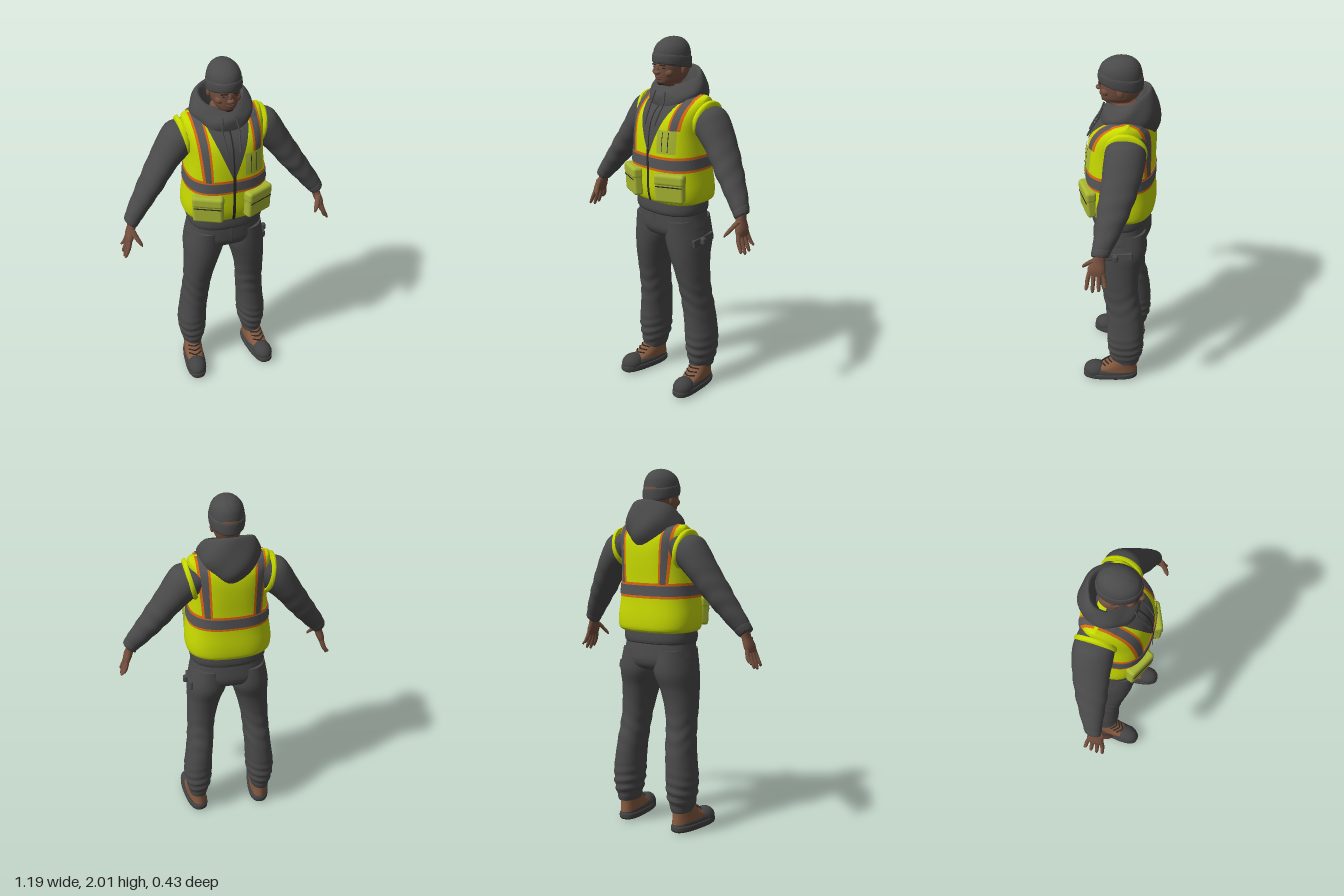
import * as THREE from 'three';
import { toCreasedNormals } from 'three/addons/utils/BufferGeometryUtils.js';
import { RoundedBoxGeometry } from 'three/addons/geometries/RoundedBoxGeometry.js';

const mat = (name, color) => new THREE.MeshStandardMaterial({ name, color });
const M = {
  cloth: mat('charcoal cloth', 0x4a4a4a), yellow: mat('safety yellow', 0xc6d800),
  pale: mat('pocket yellow', 0xa9b733), orange: mat('orange trim', 0xd9690f),
  grey: mat('reflective grey', 0x565659), skin: mat('skin', 0x75503f),
  dark: mat('near black', 0x2a2827), leather: mat('brown leather', 0x84593f),
  rubber: mat('boot rubber', 0x434343), lips: mat('lips', 0x69423a),
};

// Smooth interpolation of a ring table at parameter t
function ringAt(R, t) {
  const i = Math.min(Math.floor(t), R.length - 2), f = t - i;
  const a = R[Math.max(i - 1, 0)], b = R[i], c = R[i + 1], d = R[Math.min(i + 2, R.length - 1)];
  return b.map((_, k) => b[k] + 0.5 * f * (c[k] - a[k] + f * (2 * a[k] - 5 * b[k] + 4 * c[k] - d[k]
    + f * (3 * b[k] - a[k] - 3 * c[k] + d[k]))));
}

// Closed loft through rings [x, y, z, radiusU, radiusV, tilt], superellipse power n
function loft(rings, { n = 2, seg = 32, sub = 6, u = [1, 0, 0], v = [0, 0, 1], ripple } = {}) {
  const pos = [], idx = [], rows = (rings.length - 1) * sub;
  const pw = c => Math.sign(c) * Math.abs(c) ** (2 / n);
  for (let j = 0; j <= rows; j++) {
    const [x, y, z, a, b, tilt = 0] = ringAt(rings, j / sub);
    for (let i = 0; i < seg; i++) {
      const th = i / seg * Math.PI * 2, k = ripple ? ripple(th, y) : 1;
      const p = a * k * pw(Math.cos(th)), q = b * k * pw(Math.sin(th));
      pos.push(x + u[0] * p + v[0] * q, y + u[1] * p + v[1] * q + tilt * q, z + u[2] * p + v[2] * q);
      if (j < rows) {
        const A = j * seg + i, B = j * seg + (i + 1) % seg;
        idx.push(A, A + seg, B, B, A + seg, B + seg);
      }
    }
  }
  const c0 = pos.length / 3, top = rows * seg;
  pos.push(...rings[0].slice(0, 3), ...rings.at(-1).slice(0, 3));
  for (let i = 0; i < seg; i++) {
    const k = (i + 1) % seg;
    idx.push(c0, i, k, c0 + 1, top + k, top + i);
  }
  // Turn the faces outward using the signed volume
  let vol = 0;
  const P = i => new THREE.Vector3().fromArray(pos, i * 3);
  for (let i = 0; i < idx.length; i += 3) vol += P(idx[i]).dot(P(idx[i + 1]).cross(P(idx[i + 2])));
  if (vol < 0) idx.reverse();
  const g = new THREE.BufferGeometry();
  g.setAttribute('position', new THREE.Float32BufferAttribute(pos, 3));
  g.setIndex(idx);
  return toCreasedNormals(g, 0.9);
}

// Vest body rings, shared by everything sewn onto it
const N = 2.6;
const VEST = [[0, 1.12, -.01, .215, .165], [0, 1.14, -.01, .232, .178], [0, 1.2, -.005, .235, .185],
  [0, 1.3, 0, .222, .182], [0, 1.4, 0, .212, .182], [0, 1.5, -.005, .205, .18], [0, 1.58, -.015, .21, .168],
  [0, 1.64, -.032, .216, .138], [0, 1.68, -.047, .215, .088], [0, 1.703, -.055, .207, .012]];
function vestT(y) {
  let lo = 0, hi = VEST.length - 1;
  for (let i = 0; i < 30; i++) {
    const m = (lo + hi) / 2;
    if (ringAt(VEST, m)[1] < y) lo = m; else hi = m;
  }
  return lo;
}

// Thin panel lying on the vest between heights y0..y1 and widths xa(y)..xb(y)
function panel(y0, y1, xa, xb, side, off) {
  const pos = [], idx = [], nx = 8, ny = 30, t0 = vestT(y0), t1 = vestT(y1);
  for (let j = 0; j <= ny; j++) {
    const t = t0 + (t1 - t0) * j / ny, [, y, zc, rx, rz] = ringAt(VEST, t);
    for (let i = 0; i <= nx; i++) {
      const x = xa(y) + (xb(y) - xa(y)) * i / nx, e = Math.min(1, Math.abs(x) / (rx + off));
      pos.push(x, y + (t > VEST.length - 2.2 ? off : 0), zc + side * (rz + off) * (1 - e ** N) ** (1 / N));
      if (i < nx && j < ny) {
        const A = j * (nx + 1) + i, B = A + nx + 1;
        const q = [A, A + 1, B + 1, A, B + 1, B];
        idx.push(...(side > 0 ? q : q.reverse()));
      }
    }
  }
  const g = new THREE.BufferGeometry();
  g.setAttribute('position', new THREE.Float32BufferAttribute(pos, 3));
  g.setIndex(idx);
  g.computeVertexNormals();
  return g;
}
const band = (y0, y1, off) => loft([0, .5, 1].map(k => {
  const r = ringAt(VEST, vestT(y0 + (y1 - y0) * k));
  return [0, r[1], r[2], r[3] + off, r[4] + off];
}), { n: N, seg: 64 });

export function createModel() {
  const root = new THREE.Group();
  const add = (name, geo, m, parent = root) => {
    const o = new THREE.Mesh(geo, m);
    o.name = name;
    parent.add(o);
    return o;
  };
  const box = (name, w, h, d, m, p, r = [0, 0, 0], parent = root) => {
    const o = add(name, new RoundedBoxGeometry(w, h, d, 2, Math.min(w, h, d) * .3), m, parent);
    o.position.set(...p);
    o.rotation.set(...r);
  };
  const ball = (name, m, p, s, parent = root) => {
    const o = add(name, new THREE.SphereGeometry(1, 20, 14), m, parent);
    o.position.set(...p);
    o.scale.set(...s);
  };
  const tube = (name, pts, r, m, parent = root) => add(name, new THREE.TubeGeometry(
    new THREE.CatmullRomCurve3(pts.map(p => new THREE.Vector3(...p))), 24, r, 8), m, parent);

  // Vest with reflective belt and vertical stripes
  add('vest', loft(VEST, { n: N, seg: 64 }), M.yellow);
  add('beltTrim', band(1.307, 1.39, .003), M.orange);
  add('beltStripe', band(1.321, 1.376, .006), M.grey);
  const lean = (a, b) => y => a + b * (y - 1.39) / .31;
  for (const s of [1, -1]) for (const side of [1, -1]) {
    const y0 = s > 0 && side > 0 ? 1.53 : 1.385;
    const strip = (name, inset, off, m) => {
      const i = lean(s * (.108 + inset), s * .012), o = lean(s * (.16 - inset), s * .025);
      add(name, panel(y0, 1.703, s > 0 ? i : o, s > 0 ? o : i, side, off), m);
    };
    strip('stripeTrim', 0, .003, M.orange);
    strip('stripe', .012, .006, M.grey);
  }
  // Neck opening, zips and drawstrings
  const w = y => .006 + .108 * Math.min(1, (y - 1.4) / .27);
  add('hoodieFront', panel(1.4, 1.703, y => -w(y), w, 1, .004), M.cloth);
  add('hoodieZip', panel(1.42, 1.66, () => -.004, () => .004, 1, .006), M.dark);
  add('vestZip', panel(1.13, 1.42, () => -.008, () => .008, 1, .009), M.dark);
  for (const s of [1, -1]) tube('drawstring', [[s * .035, 1.72, .095], [s * .045, 1.66, .118],
    [s * .04, 1.6, .153], [s * .035, 1.55, .177]], .005, M.cloth);
  // Pen pocket
  add('penPocket', panel(1.41, 1.535, () => .062, () => .165, 1, .009), M.pale);
  for (const x of [.095, .128]) add('penSeam', panel(1.42, 1.525, () => x - .002, () => x + .002, 1, .011), M.dark);
  // Lower pockets with flaps
  for (const s of [1, -1]) {
    const p = new THREE.Group();
    p.name = 'vestPocket';
    p.position.set(s * .139, 1.222, .162);
    p.rotation.y = s * .44;
    root.add(p);
    box('pocketBag', .165, .155, .055, M.pale, [0, 0, 0], [.05, 0, 0], p);
    box('pocketShadow', .15, .006, .004, M.dark, [0, .014, .029], [0, 0, 0], p);
    box('pocketFlap', .17, .065, .062, M.pale, [0, .05, .002], [0, 0, 0], p);
  }

  // Hoodie hem, hood and trousers seat
  add('hoodieHem', loft([[0, 1.05, 0, .2, .148], [0, 1.065, 0, .21, .158], [0, 1.1, 0, .212, .16],
    [0, 1.16, 0, .205, .155]], { n: 2.4 }), M.cloth);
  add('hood', loft([[0, 1.585, -.05, .09, .13, 0], [0, 1.64, -.047, .145, .155, 0], [0, 1.7, -.05, .168, .152, -.04],
    [0, 1.752, -.055, .158, .126, -.22], [0, 1.79, -.056, .13, .098, -.44], [0, 1.785, -.052, .112, .085, -.44],
    [0, 1.74, -.045, .1, .075, -.35], [0, 1.69, -.04, .085, .07, -.1]],
  { seg: 48, ripple: (th, y) => 1 + .02 * Math.sin(5 * th + y * 40) }), M.cloth);
  add('seat', loft([[0, 1.08, 0, .198, .148], [0, 1.02, -.004, .207, .152], [0, .96, -.008, .217, .151],
    [0, .92, -.01, .2, .13], [0, .9, -.01, .13, .09]], { n: 2.4 }), M.cloth);
  add('fly', loft([[0, 1.05, .148, .008, .004], [0, .96, .142, .008, .004]], { seg: 10 }), M.cloth);

  for (const s of [1, -1]) {
    // Trouser legs with gathered folds
    add('trouserLeg', loft([[.112, 1.02, -.005, .092, .145], [.118, .9, -.012, .11, .146], [.135, .8, -.004, .096, .126],
      [.15, .7, -.008, .084, .109], [.16, .6, -.02, .076, .1], [.168, .5, -.037, .076, .101], [.178, .4, -.047, .077, .104],
      [.186, .3, -.05, .081, .105], [.188, .21, -.052, .074, .1], [.19, .15, -.05, .06, .087], [.19, .115, -.048, .052, .08]]
      .map(r => [s * r[0], ...r.slice(1)]), {
      n: 2.2, seg: 40, sub: 9, ripple: (th, y) => 1
        + .045 * Math.exp(-(((y - .22) / .09) ** 2)) * Math.sin(y * 115 + 2 * Math.sin(th + s))
        + .025 * Math.exp(-(((y - .56) / .1) ** 2)) * Math.sin(y * 70 + 2.5 * Math.sin(th * 2 + s)),
    }), M.cloth);

    // Sleeve with cuff and armhole binding
    const ax = { u: [s * .78, .62, 0] };
    add('sleeve', loft([[.15, 1.61, -.055, .07, .09], [.21, 1.58, -.053, .098, .104], [.26, 1.53, -.051, .091, .107],
      [.32, 1.452, -.042, .076, .1], [.395, 1.342, -.02, .067, .088], [.46, 1.25, .002, .057, .07],
      [.505, 1.187, .02, .05, .056], [.525, 1.158, .029, .042, .047]].map(r => [s * r[0], ...r.slice(1)]), {
      ...ax, sub: 9, ripple: (th, y) => 1 + .028 * Math.exp(-(((y - 1.32) / .13) ** 2)) * Math.sin(y * 75 + 2 * Math.sin(th)),
    }), M.cloth);
    add('cuff', loft([[s * .512, 1.178, .024, .042, .048], [s * .52, 1.165, .027, .046, .051],
      [s * .537, 1.14, .034, .041, .046], [s * .54, 1.135, .035, .034, .038]], ax), M.cloth);
    add('armholeBinding', loft([[s * .197, 1.575, -.052, .108, .108], [s * .212, 1.568, -.052, .112, .112],
      [s * .22, 1.562, -.052, .1, .106]], { u: [s * .25, .97, 0], seg: 40 }), M.yellow);

    // Hand with four fingers and thumb
    add('palm', loft([[.525, 1.16, .03, .027, .032], [.536, 1.115, .041, .022, .034], [.55, 1.07, .05, .022, .046],
      [.559, 1.035, .052, .015, .044]].map(r => [s * r[0], ...r.slice(1)]), { n: 2.3 }), M.skin);
    [.955, .942, .95, .975].forEach((tip, i) => {
      const z = .084 - i * .022, dz = (1.5 - i) * .007;
      add('finger', loft([[.555, 1.055, z, .012, .012], [.568, 1.01, z + dz, .012, .0115], [.582, (tip + 1.0) / 2, z + dz * 1.3, .011, .01],
        [.589, tip + .008, z + dz * 1.5, .008, .008], [.59, tip, z + dz * 1.5, .002, .002]]
        .map(r => [s * r[0], ...r.slice(1)]), { seg: 12 }), M.skin);
    });
    add('thumb', loft([[.54, 1.11, .07, .016, .018], [.523, 1.075, .103, .014, .015], [.508, 1.048, .122, .011, .011],
      [.5, 1.032, .13, .003, .003]].map(r => [s * r[0], ...r.slice(1)]), { seg: 14 }), M.skin);

    // Work boot, toes turned out
    const b = new THREE.Group();
    b.name = 'boot';
    b.position.set(s * .192, 0, -.035);
    b.rotation.y = s * .12;
    root.add(b);
    add('sole', loft([[0, 0, .073, .055, .155], [0, .008, .073, .061, .161], [0, .03, .073, .061, .161],
      [0, .036, .073, .057, .157]], { n: 2.7, seg: 40 }), M.rubber);
    b.add(root.children.at(-1));
    add('bootRand', loft([[0, .03, .073, .056, .155], [0, .05, .072, .056, .153], [0, .064, .06, .05, .138]],
      { n: 2.5, seg: 40 }), M.rubber, b);
    ball('toeCap', M.rubber, [0, .043, .162], [.056, .054, .07], b);
    add('bootUpper', loft([[0, .045, .05, .054, .138, 0], [0, .08, .04, .053, .122, -.1], [0, .115, .012, .051, .093, -.18],
      [0, .15, -.012, .048, .07, -.05], [0, .19, -.015, .045, .062, 0]], { n: 2.3 }), M.leather, b);
    for (let i = 0; i < 4; i++) tube('lace', [[-.036, .095 + i * .014, .1 - i * .019], [0, .098 + i * .016, .127 - i * .021],
      [.036, .095 + i * .014, .1 - i * .019]], .004, M.dark, b);

    // Face sides
    ball('ear', M.skin, [s * .079, 1.832, -.006], [.011, .028, .019]);
    ball('eye', M.dark, [s * .03, 1.846, .103], [.012, .005, .006]);
    box('eyebrow', .036, .007, .008, M.dark, [s * .031, 1.861, .107], [0, s * .25, s * -.08]);
    ball('cheek', M.skin, [s * .042, 1.82, .073], [.026, .024, .026]);
  }
  // Side pocket and tool loop on the left trouser leg
  box('sidePocketFlap', .02, .045, .16, M.cloth, [.219, .905, -.015], [.12, 0, .05]);
  box('toolLoop', .03, .04, .03, M.cloth, [.237, .905, .0]);

  // Head and face
  add('head', loft([[0, 1.66, -.04, .062, .068], [0, 1.735, -.022, .062, .066], [0, 1.757, .022, .048, .074],
    [0, 1.785, .012, .064, .096], [0, 1.83, .004, .075, .11], [0, 1.87, 0, .079, .113], [0, 1.92, -.004, .074, .1]],
  { n: 2.2, seg: 40 }), M.skin);
  ball('noseBridge', M.skin, [0, 1.842, .108], [.011, .026, .014]);
  ball('noseTip', M.skin, [0, 1.822, .117], [.02, .012, .017]);
  ball('upperLip', M.lips, [0, 1.797, .106], [.025, .005, .008]);
  ball('lowerLip', M.lips, [0, 1.788, .105], [.021, .006, .008]);
  ball('chinBeard', M.dark, [0, 1.763, .09], [.024, .012, .014]);

  // Knitted hat with turned-up cuff
  add('hat', loft([[0, 1.87, .003, .087, .111, .15], [0, 1.915, .003, .089, .111, .1], [0, 1.955, .001, .077, .097, .03],
    [0, 1.985, -.002, .05, .064, 0], [0, 1.997, -.003, .022, .028, 0], [0, 2, -.003, .001, .001, 0]], { seg: 40 }), M.cloth);
  add('hatCuff', loft([[0, 1.846, .004, .085, .11, .2], [0, 1.852, .004, .092, .117, .2], [0, 1.88, .004, .094, .118, .17],
    [0, 1.903, .003, .092, .115, .14], [0, 1.908, .003, .086, .109, .14]], { seg: 40 }), M.cloth);
  return root;
}
